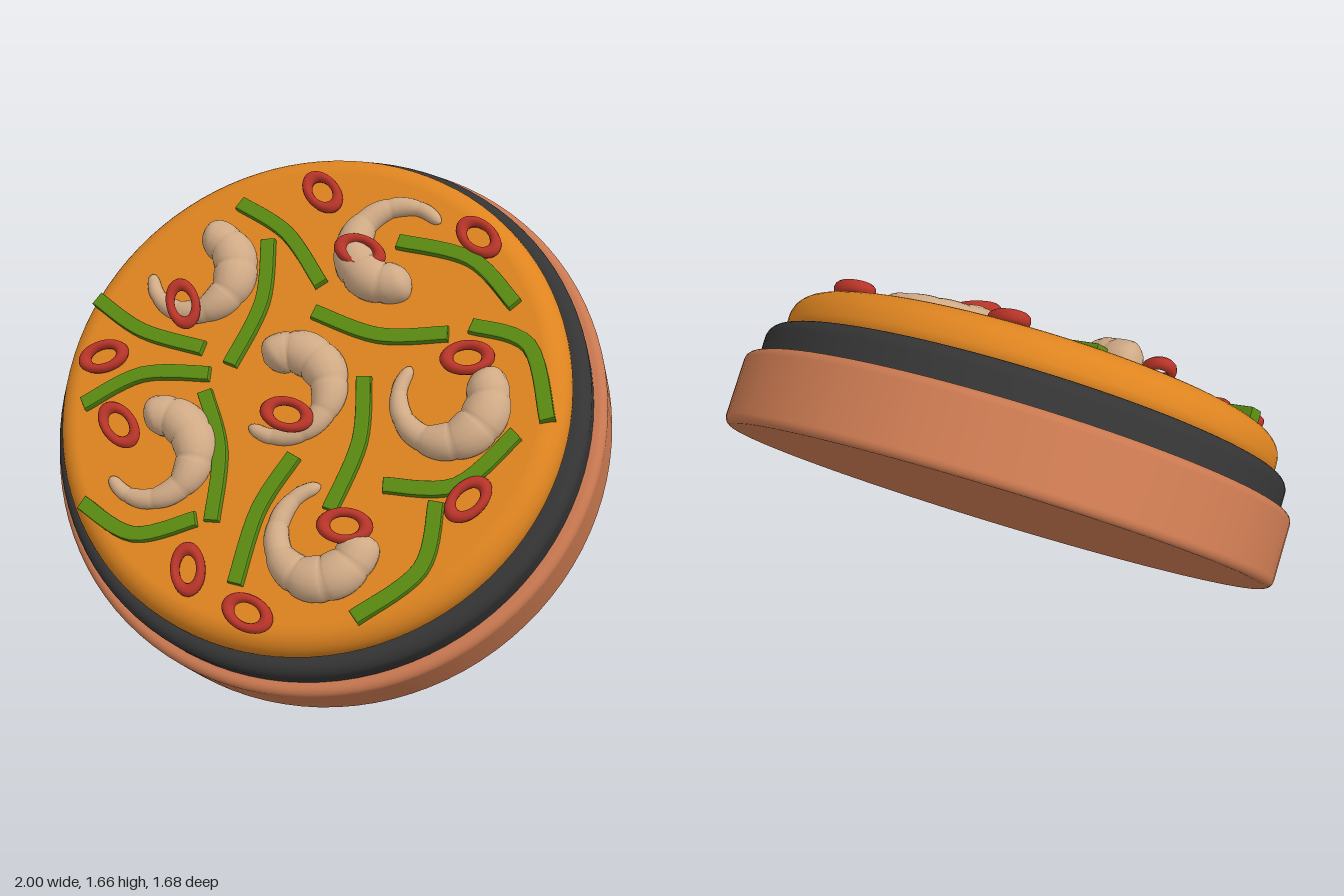
import * as THREE from 'three';
import { mergeVertices } from 'three/addons/utils/BufferGeometryUtils.js';

const paint = (color) => new THREE.MeshStandardMaterial({ color });
const clay = paint(0xc87850), rim = paint(0x343434), sauce = paint(0xde8420);
const shrimpSkin = paint(0xd0aa86), bean = paint(0x5a8a12), chili = paint(0xb83428);

// Solid disc from y0 to y1 with rounded rims (bottom and top radius)
function disc(name, radius, y0, y1, roundLow, roundTop, material) {
  const points = [new THREE.Vector2(0, y0)];
  const corner = (round, y, from) => {
    for (let i = 0; i <= 8; i++) {
      const a = from + (i / 8) * Math.PI / 2;
      points.push(new THREE.Vector2(radius - round + round * Math.cos(a), y + round * Math.sin(a)));
    }
  };
  corner(roundLow, y0 + roundLow, -Math.PI / 2);
  corner(roundTop, y1 - roundTop, 0);
  points.push(new THREE.Vector2(0, y1));
  const mesh = new THREE.Mesh(new THREE.LatheGeometry(points, 96), material);
  mesh.name = name;
  return mesh;
}

// Rounded tip: 0 at the very end, 1 from the given length inward
function roundedTip(distance, length) {
  const s = THREE.MathUtils.clamp(1 - distance / length, 0, 0.995);
  return Math.sqrt(1 - s * s);
}

// Curled body: a tube whose rings are scaled to taper and bulge by segment
function shrimpGeometry() {
  const spine = [];
  for (let i = 0; i <= 10; i++) {
    const t = i / 10, a = -t * THREE.MathUtils.degToRad(268);
    const r = 0.132 + 0.05 * t * t;
    spine.push(new THREE.Vector3(r * Math.cos(a), r * Math.sin(a), -0.02 * t));
  }
  const curve = new THREE.CatmullRomCurve3(spine);
  const rings = 84, sides = 16;
  const geometry = new THREE.TubeGeometry(curve, rings, 1, sides);
  const position = geometry.attributes.position, p = new THREE.Vector3();
  for (let i = 0; i <= rings; i++) {
    const t = i / rings, center = curve.getPointAt(t);
    const body = 0.064 + 0.016 * Math.sin(Math.min(t / 0.6, 1) * Math.PI) - 0.044 * Math.max(0, (t - 0.3) / 0.7);
    const ends = roundedTip(t, 0.07) * roundedTip(1 - t, 0.05);
    const plates = 0.9 + 0.1 * Math.sqrt(Math.abs(Math.sin(t * Math.PI * 7)));
    for (let j = 0; j <= sides; j++) {
      const k = i * (sides + 1) + j;
      p.fromBufferAttribute(position, k).sub(center).multiplyScalar(body * ends * plates).add(center);
      position.setXYZ(k, p.x, p.y, p.z);
    }
  }
  geometry.deleteAttribute('uv');
  geometry.deleteAttribute('normal');
  const smooth = mergeVertices(geometry, 1e-5);
  smooth.computeVertexNormals();
  return smooth;
}

// Curved strip through three points, raised from the surface
function beanGeometry(a, b, c) {
  const curve = new THREE.SplineCurve([a, b, c].map(([x, y]) => new THREE.Vector2(x, y)));
  const left = [], right = [];
  for (let i = 0; i <= 14; i++) {
    const p = curve.getPoint(i / 14), d = curve.getTangent(i / 14);
    left.push(new THREE.Vector2(p.x - d.y * 0.02, p.y + d.x * 0.02));
    right.unshift(new THREE.Vector2(p.x + d.y * 0.02, p.y - d.x * 0.02));
  }
  return new THREE.ExtrudeGeometry(new THREE.Shape([...left, ...right]), {
    depth: 0.04, bevelSize: 0.006, bevelThickness: 0.006, bevelSegments: 2,
  });
}

export function createModel() {
  const model = new THREE.Group();
  model.name = 'toppedDish';
  const dish = new THREE.Group();
  dish.name = 'tiltedDish';
  dish.rotation.x = Math.PI / 4;
  dish.position.set(0, 0.705, -0.13);
  model.add(dish);

  dish.add(
    disc('base', 1, 0, 0.26, 0.03, 0.03, clay),
    disc('darkRim', 0.955, 0.24, 0.375, 0.02, 0.045, rim),
    disc('sauce', 0.9, 0.36, 0.51, 0.05, 0.085, sauce),
  );

  // Toppings lie in the xy plane of this group, with z away from the sauce
  const toppings = new THREE.Group();
  toppings.name = 'toppings';
  toppings.rotation.x = -Math.PI / 2;
  toppings.position.y = 0.51;
  dish.add(toppings);

  // Shrimps: x, y, angle of the thick end
  const shrimp = shrimpGeometry();
  [
    [-0.48, 0.36, 98], [0.2, 0.54, -50], [-0.04, -0.02, 143],
    [0.51, 0.03, 55], [-0.44, -0.32, 125], [0.21, -0.5, 15],
  ].forEach(([x, y, angle]) => {
    const mesh = new THREE.Mesh(shrimp, shrimpSkin);
    mesh.name = 'shrimp';
    mesh.position.set(x, y, 0.025);
    mesh.rotation.z = THREE.MathUtils.degToRad(angle);
    toppings.add(mesh);
  });

  // Green beans: start, middle, end
  [
    [[-0.4, 0.64], [-0.2, 0.55], [-0.03, 0.38]],
    [[-0.26, 0.51], [-0.22, 0.28], [-0.27, 0.04]],
    [[-0.83, 0.2], [-0.63, 0.11], [-0.39, 0.08]],
    [[-0.76, -0.19], [-0.58, -0.05], [-0.34, -0.01]],
    [[-0.33, -0.08], [-0.22, -0.27], [-0.18, -0.51]],
    [[0.04, -0.25], [-0.03, -0.45], [-0.04, -0.7]],
    [[0.21, 0.06], [0.25, -0.16], [0.21, -0.4]],
    [[-0.02, 0.27], [0.22, 0.22], [0.45, 0.26]],
    [[0.21, 0.57], [0.47, 0.54], [0.65, 0.4]],
    [[0.53, 0.3], [0.73, 0.26], [0.84, 0.02]],
    [[0.37, -0.29], [0.6, -0.25], [0.75, -0.05]],
    [[0.55, -0.32], [0.55, -0.54], [0.38, -0.73]],
    [[-0.65, -0.54], [-0.44, -0.61], [-0.24, -0.52]],
  ].forEach((points) => {
    const mesh = new THREE.Mesh(beanGeometry(...points), bean);
    mesh.name = 'greenBean';
    mesh.position.z = -0.02;
    toppings.add(mesh);
  });

  // Chili rings: x, y, angle, height (higher ones rest on shrimps)
  const ring = new THREE.TorusGeometry(0.06, 0.02, 10, 28);
  ring.scale(1.15, 0.75, 1.1);
  [
    [-0.11, 0.72, -39, 0.02], [0.48, 0.62, -33, 0.02], [0.1, 0.49, -7, 0.07],
    [-0.48, 0.21, -64, 0.07], [-0.74, -0.01, 27, 0.02], [-0.58, -0.26, -39, 0.07],
    [0, -0.125, 0, 0.07], [0.55, 0.17, 21, 0.06], [0.65, -0.29, 59, 0.02],
    [0.29, -0.46, 11, 0.07], [-0.21, -0.69, -72, 0.02], [0.03, -0.79, -14, 0.02],
  ].forEach(([x, y, angle, height]) => {
    const mesh = new THREE.Mesh(ring, chili);
    mesh.name = 'chiliRing';
    mesh.position.set(x, y, height);
    mesh.rotation.set(0, height > 0.03 ? 0.25 : 0.08, THREE.MathUtils.degToRad(angle), 'ZYX');
    toppings.add(mesh);
  });

  return model;
}
